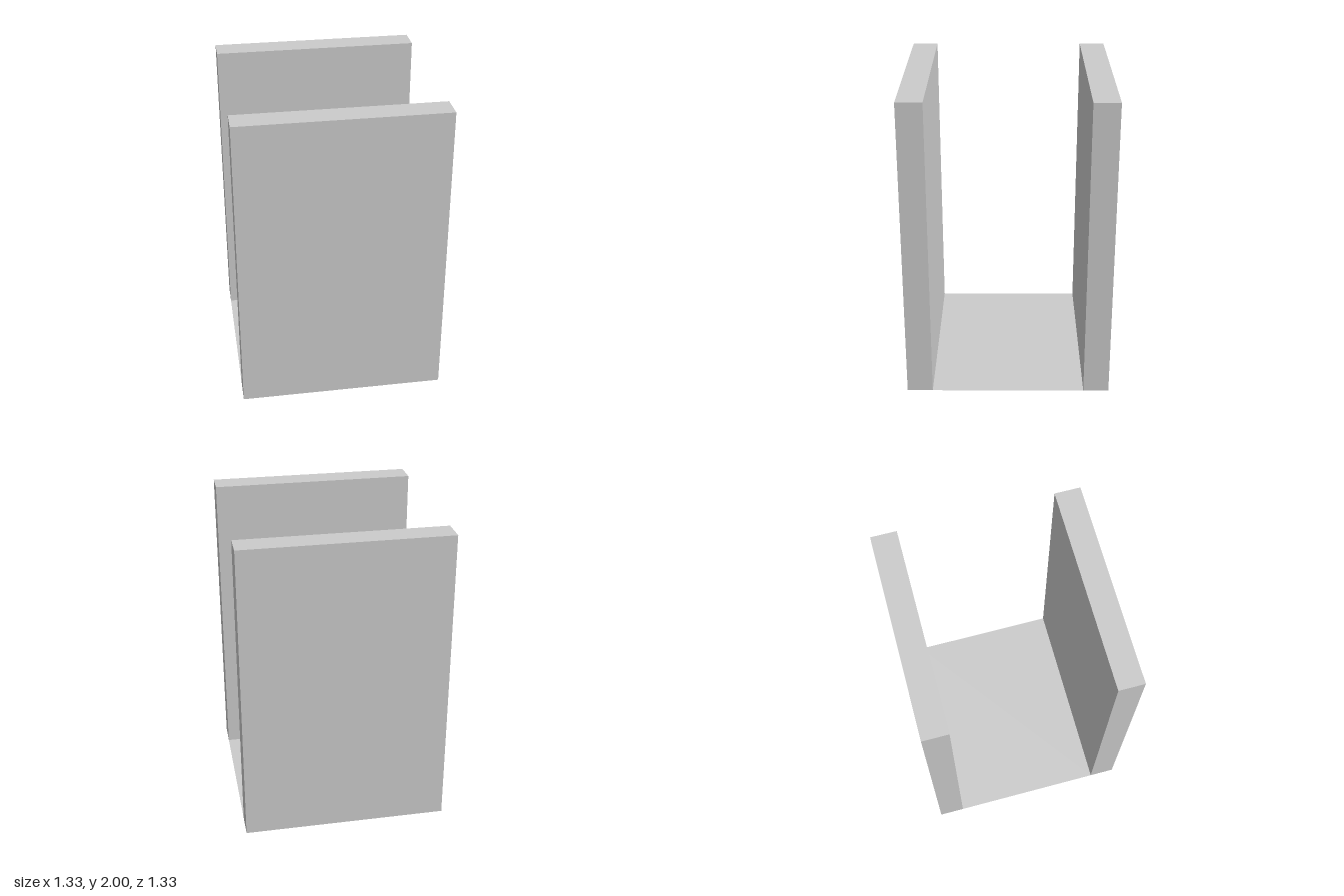
import * as THREE from 'three';

const WIDTH = 4 / 3, HEIGHT = 2, THICKNESS = 1 / 6, GAP = 1;

// Box without its underside
function openBottomBox(w, h, d) {
  const geometry = new THREE.BoxGeometry(w, h, d);
  const index = Array.from(geometry.index.array);
  index.splice(18, 6); // the -y face
  geometry.setIndex(index);
  geometry.clearGroups();
  return geometry;
}

export function createModel() {
  const group = new THREE.Group();
  group.name = 'channel';
  const material = new THREE.MeshStandardMaterial({ color: 0xcccccc, side: THREE.DoubleSide });

  // Two upright slabs, hollow and open below
  for (const [name, side] of [['frontWall', 1], ['backWall', -1]]) {
    const wall = new THREE.Mesh(openBottomBox(WIDTH, HEIGHT, THICKNESS), material);
    wall.name = name;
    wall.position.set(0, HEIGHT / 2, side * (GAP + THICKNESS) / 2);
    group.add(wall);
  }

  // Thin floor sheet between the walls
  const floor = new THREE.Mesh(new THREE.PlaneGeometry(WIDTH, GAP).rotateX(-Math.PI / 2), material);
  floor.name = 'floor';
  group.add(floor);

  return group;
}
